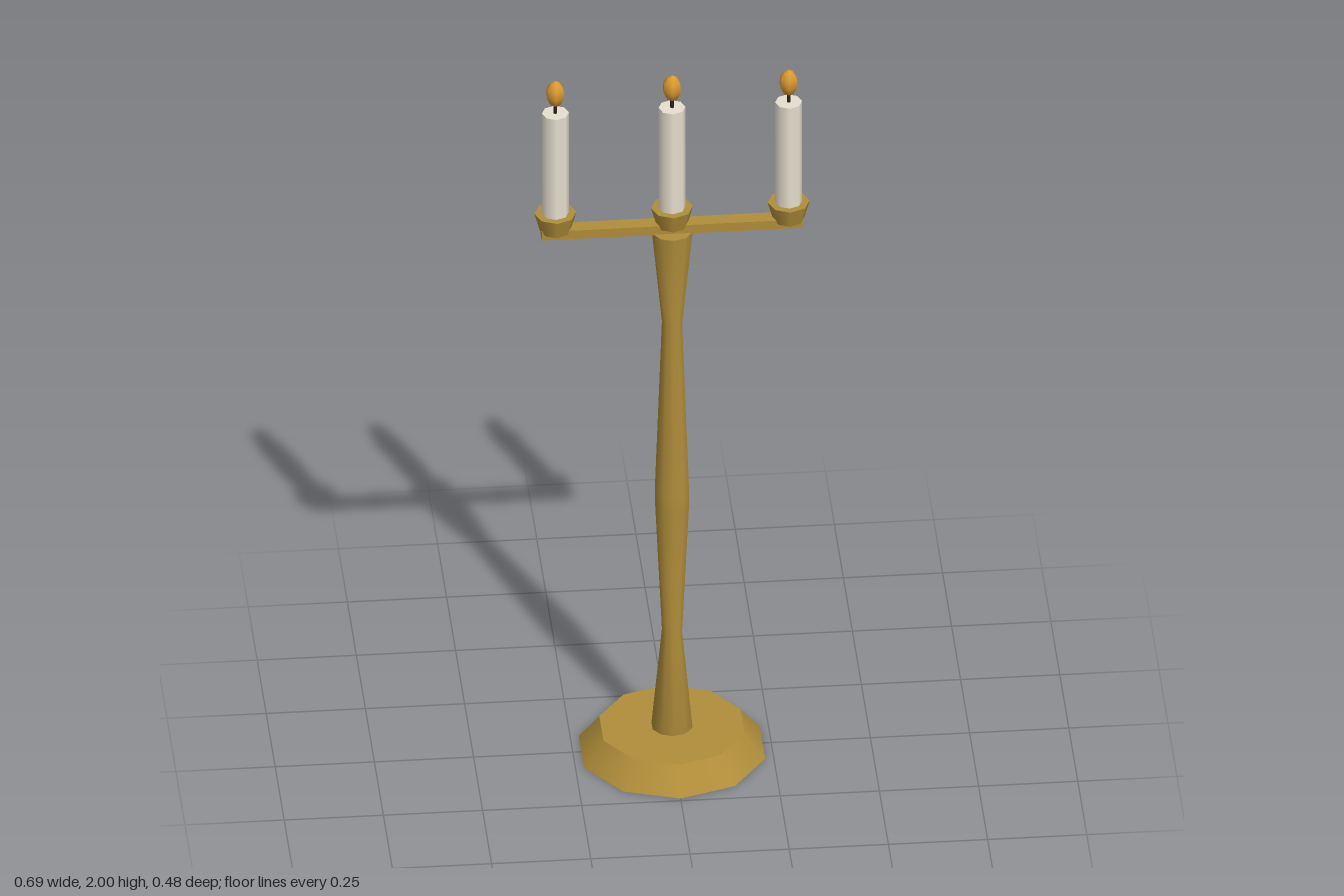
import * as THREE from 'three';

const brass = new THREE.MeshStandardMaterial({ color: 0xb08d3a });
const wax = new THREE.MeshStandardMaterial({ color: 0xe6dfce });
const char = new THREE.MeshStandardMaterial({ color: 0x2a2018 });
const fire = new THREE.MeshStandardMaterial({ color: 0xdb9a33 });

function add(parent, name, geometry, material, y = 0) {
  const mesh = new THREE.Mesh(geometry, material);
  mesh.name = name;
  mesh.position.y = y;
  parent.add(mesh);
  return mesh;
}

// Tapered round part standing between two heights
function taper(parent, name, rTop, rBottom, y0, y1, sides, material) {
  const geometry = new THREE.CylinderGeometry(rTop, rBottom, y1 - y0, sides);
  return add(parent, name, geometry, material, (y0 + y1) / 2);
}

// Turned part from [radius, height] pairs
function turned(parent, name, profile, sides, material) {
  const points = profile.map(([r, y]) => new THREE.Vector2(r, y));
  return add(parent, name, new THREE.LatheGeometry(points, sides), material);
}

// Cup, candle, wick and flame
function candleHolder(name, x) {
  const holder = new THREE.Group();
  holder.name = name;
  holder.position.x = x;
  taper(holder, 'cup', 0.053, 0.039, 1.557, 1.608, 8, brass);
  taper(holder, 'candle', 0.034, 0.034, 1.58, 1.905, 8, wax);
  taper(holder, 'wick', 0.005, 0.005, 1.9, 1.935, 6, char);
  turned(holder, 'flame', [
    [0, 1.925], [0.014, 1.932], [0.025, 1.955], [0.023, 1.978], [0.012, 1.993], [0, 2],
  ], 6, fire);
  return holder;
}

export function createModel() {
  const model = new THREE.Group();
  model.name = 'candelabrum';

  taper(model, 'base', 0.187, 0.24, 0, 0.067, 10, brass);

  // Stem, flared at both ends and swollen in the middle
  turned(model, 'stem', [
    [0, 0.066], [0.053, 0.066], [0.026, 0.35], [0.044, 0.73], [0.044, 0.77],
    [0.026, 1.265], [0.053, 1.54],
  ], 10, brass);
  taper(model, 'stemCap', 0.053, 0.053, 1.538, 1.541, 10, brass);

  add(model, 'arm', new THREE.BoxGeometry(0.66, 0.025, 0.04), brass, 1.5525);

  model.add(
    candleHolder('rightHolder', -0.294),
    candleHolder('middleHolder', 0),
    candleHolder('leftHolder', 0.294),
  );
  return model;
}
